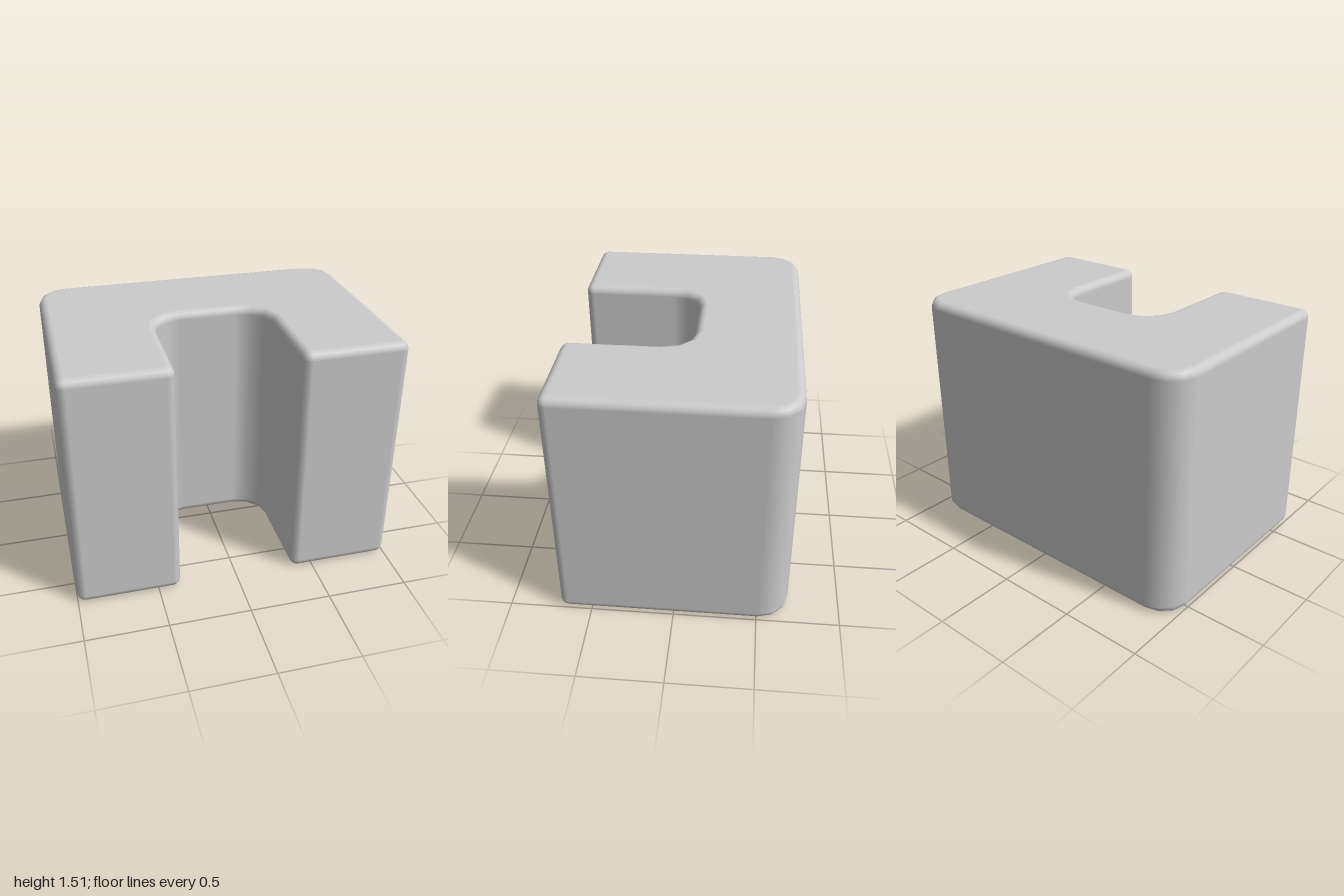
import * as THREE from 'three';

const HEIGHT = 1.51, BEVEL = 0.05, STEPS = 4;

// Arc of core points with their outward plan normals, angles in degrees
function arc(cx, cz, radius, from, to) {
  return Array.from({ length: 4 }, (_, i) => {
    const a = THREE.MathUtils.degToRad(from + (to - from) * i / 3);
    const nx = Math.cos(a), nz = Math.sin(a);
    return { x: cx + radius * nx, z: cz + radius * nz, nx, nz };
  });
}

// U-shaped plan, inset by the bevel: one half, then its mirror image
function corePlan() {
  const half = [
    ...arc(0.82, -0.51, 0.13, -90, 0),  // rounded back corner
    ...arc(0.95, 0.645, 0, 0, 90),      // front outer edge
    ...arc(0.41, 0.645, 0, 90, 180),    // front inner edge
    ...arc(0.18, 0.12, -0.23, 180, 90), // rounded inside corner
  ];
  const mirrored = half.map(p => ({ ...p, x: -p.x, nx: -p.nx })).reverse();
  return [...half, ...mirrored];
}

function roundedPrism(plan) {
  const positions = [], normals = [], indices = [];
  const n = plan.length;

  // Rings climb the bottom bevel, the walls and the top bevel
  const rings = [];
  for (let i = 0; i <= STEPS; i++) rings.push([-Math.PI / 2 * (1 - i / STEPS), BEVEL]);
  for (let i = 0; i <= STEPS; i++) rings.push([Math.PI / 2 * i / STEPS, HEIGHT - BEVEL]);
  for (const [t, y] of rings) {
    const c = Math.cos(t), s = Math.sin(t);
    for (const p of plan) {
      positions.push(p.x + p.nx * BEVEL * c, y + BEVEL * s, p.z + p.nz * BEVEL * c);
      normals.push(p.nx * c, s, p.nz * c);
    }
  }
  for (let k = 0; k < rings.length - 1; k++) {
    for (let i = 0; i < n; i++) {
      const a = k * n + i, b = k * n + (i + 1) % n;
      indices.push(a, a + n, b, b, a + n, b + n);
    }
  }

  // Flat bottom and top
  const top = (rings.length - 1) * n;
  const contour = plan.map(p => new THREE.Vector2(p.x, p.z));
  for (const [a, b, c] of THREE.ShapeUtils.triangulateShape(contour, [])) {
    indices.push(a, b, c, top + a, top + c, top + b);
  }

  const geometry = new THREE.BufferGeometry();
  geometry.setAttribute('position', new THREE.Float32BufferAttribute(positions, 3));
  geometry.setAttribute('normal', new THREE.Float32BufferAttribute(normals, 3));
  geometry.setIndex(indices);
  return geometry;
}

export function createModel() {
  const group = new THREE.Group();
  const block = new THREE.Mesh(
    roundedPrism(corePlan()),
    new THREE.MeshStandardMaterial({ color: 0xcccccc })
  );
  block.name = 'uShapedBlock';
  group.add(block);
  return group;
}
